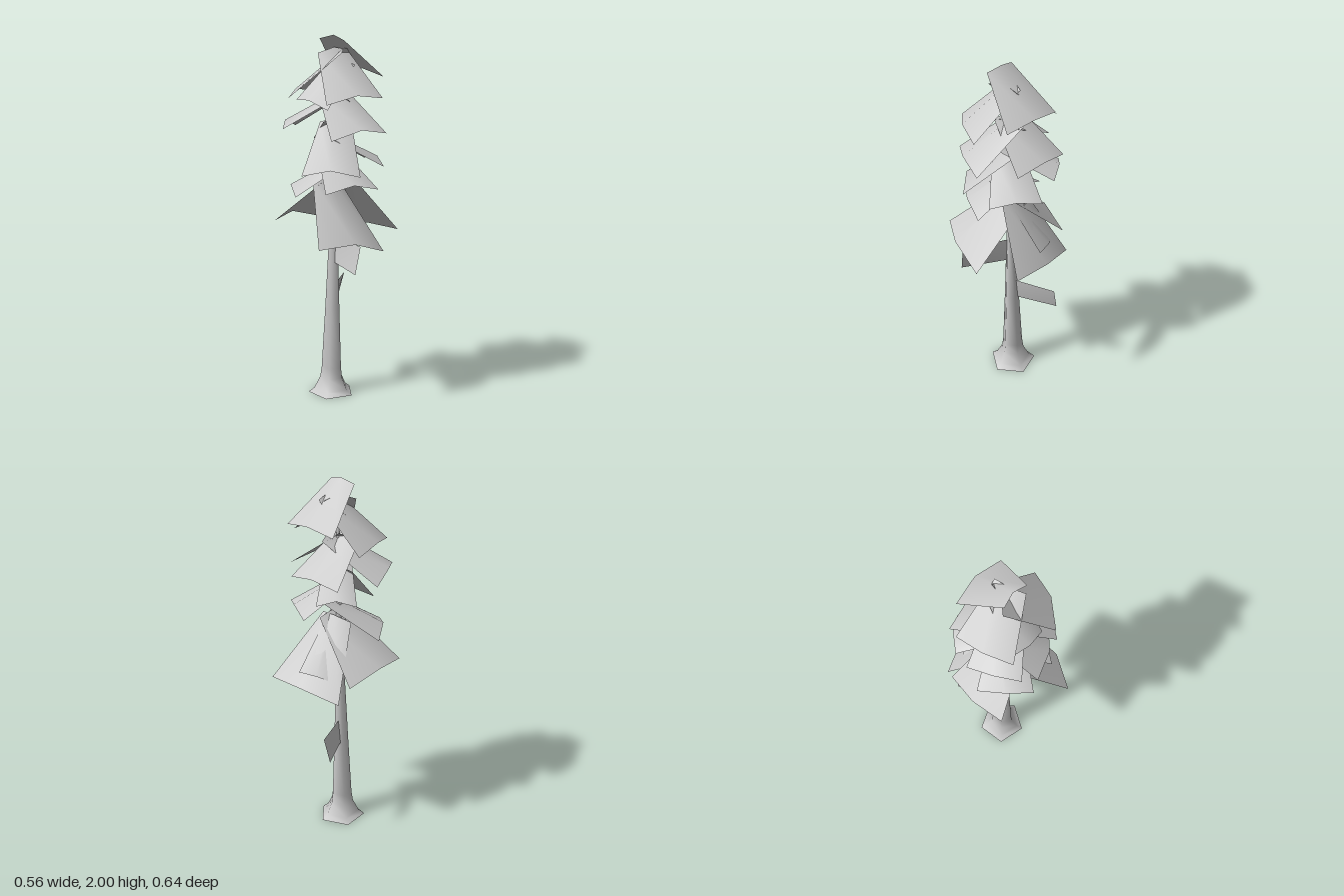
import * as THREE from 'three';

const material = new THREE.MeshStandardMaterial({ color: 0xcccccc, side: THREE.DoubleSide });

// Grid of points (rows of equal length) to a smooth sheet
function sheet(name, rows) {
  const n = rows[0].length, index = [];
  for (let r = 0; r < rows.length - 1; r++) {
    for (let c = 0; c < n - 1; c++) {
      const a = r * n + c, b = a + n;
      index.push(a, b, a + 1, b, b + 1, a + 1);
    }
  }
  const geometry = new THREE.BufferGeometry().setFromPoints(rows.flat());
  geometry.setIndex(index);
  geometry.computeVertexNormals();
  const mesh = new THREE.Mesh(geometry, material);
  mesh.name = name;
  return mesh;
}

// Drooping frond: a ridge from inner to outer point, sides folded down, widening outwards;
// roll raises one outer corner and lowers the other
function frond(inner, outer, innerHalf, outerHalf, fold = 0.04, roll = 0) {
  const a = new THREE.Vector3(...inner), b = new THREE.Vector3(...outer);
  const along = b.clone().sub(a).normalize();
  const side = new THREE.Vector3().crossVectors(along, new THREE.Vector3(0, 1, 0)).normalize();
  const up = new THREE.Vector3().crossVectors(side, along);
  const row = (p, half, drop, tilt) => [-1, 0, 1].map((s) =>
    p.clone().addScaledVector(side, s * half).addScaledVector(up, s * tilt - Math.abs(s) * drop));
  return sheet('frond', [row(a, innerHalf, fold * 0.7, roll / 2), row(b, outerHalf, fold, roll)]);
}

export function createModel() {
  const tree = new THREE.Group();
  tree.name = 'conifer';

  // Five-sided trunk with a flared foot, leaning slightly
  const profile = [[0.13, 0], [0.098, 0.025], [0.066, 0.09], [0.058, 0.15], [0.042, 0.5],
    [0.026, 0.9], [0.019, 1.3], [0.01, 1.7], [0.002, 1.9]];
  const trunkGeometry = new THREE.LatheGeometry(
    profile.map(([r, y]) => new THREE.Vector2(r, y)), 5, -Math.PI / 4);
  const p = trunkGeometry.attributes.position;
  for (let i = 0; i < p.count; i++) {
    const t = p.getY(i) / 1.9;
    p.setX(i, p.getX(i) - 0.031 + 0.031 * t);
    p.setZ(i, p.getZ(i) - 0.011);
  }
  const trunk = new THREE.Mesh(trunkGeometry, material);
  trunk.name = 'trunk';
  tree.add(trunk);

  // Fronds from the tip down: inner point, outer point, half widths, fold, roll
  const foliage = new THREE.Group();
  foliage.name = 'foliage';
  const fronds = [
    // crown
    [[0.015, 2.0, 0.025], [0, 1.8, -0.228], 0.08, 0.16],
    [[0.04, 1.93, -0.03], [-0.225, 1.7, 0.06], 0.085, 0.16],
    [[-0.02, 1.93, -0.02], [0.225, 1.705, 0.08], 0.085, 0.16, 0.045, -0.012],
    [[0.01, 1.87, -0.04], [-0.02, 1.67, 0.185], 0.08, 0.105, 0.035, 0.025],
    // upper ring
    [[-0.025, 1.72, 0.02], [-0.05, 1.53, -0.245], 0.085, 0.16],
    [[0.04, 1.72, -0.03], [-0.23, 1.54, 0.14], 0.085, 0.145, 0.045, -0.015],
    [[-0.03, 1.72, -0.03], [0.24, 1.525, 0.06], 0.085, 0.165, 0.05, -0.01],
    // middle ring
    [[-0.03, 1.55, -0.04], [0.13, 1.315, 0.185], 0.085, 0.155, 0.05],
    [[0.03, 1.57, 0.02], [-0.19, 1.44, -0.2], 0.07, 0.105],
    [[-0.02, 1.48, 0.02], [0.11, 1.335, -0.225], 0.08, 0.14],
    // lower ring
    [[0.04, 1.36, -0.04], [-0.17, 1.2, 0.165], 0.08, 0.15, 0.045],
    [[-0.03, 1.38, -0.02], [0.205, 1.23, 0.08], 0.08, 0.155, 0.045],
    // large bottom fronds
    [[0.02, 1.28, -0.01], [-0.283, 1.01, 0.03], 0.09, 0.19, 0.05, -0.03],
    [[-0.01, 1.26, -0.05], [-0.03, 0.92, -0.315], 0.085, 0.21, 0.05, 0.042],
    [[-0.04, 1.23, 0], [0.255, 0.93, 0.13], 0.09, 0.205, 0.06, 0.045],
    [[0, 1.27, 0], [-0.09, 0.99, -0.25], 0.05, 0.1, 0.025, 0.035],
  ];
  for (const f of fronds) foliage.add(frond(...f));
  tree.add(foliage);

  // Two flat twigs on the bare trunk
  const v = (x, y, z) => new THREE.Vector3(x, y, z);
  const upper = sheet('upperTwig', [
    [v(-0.01, 0.91, -0.01), v(0.245, 0.905, 0.075)],
    [v(-0.005, 0.76, 0), v(0.235, 0.755, 0.105)],
  ]);
  const lower = sheet('lowerTwig', [
    [v(-0.03, 0.62, -0.03), v(-0.14, 0.625, -0.245)],
    [v(-0.04, 0.49, -0.02), v(-0.172, 0.49, -0.23)],
  ]);
  tree.add(upper, lower);
  return tree;
}
